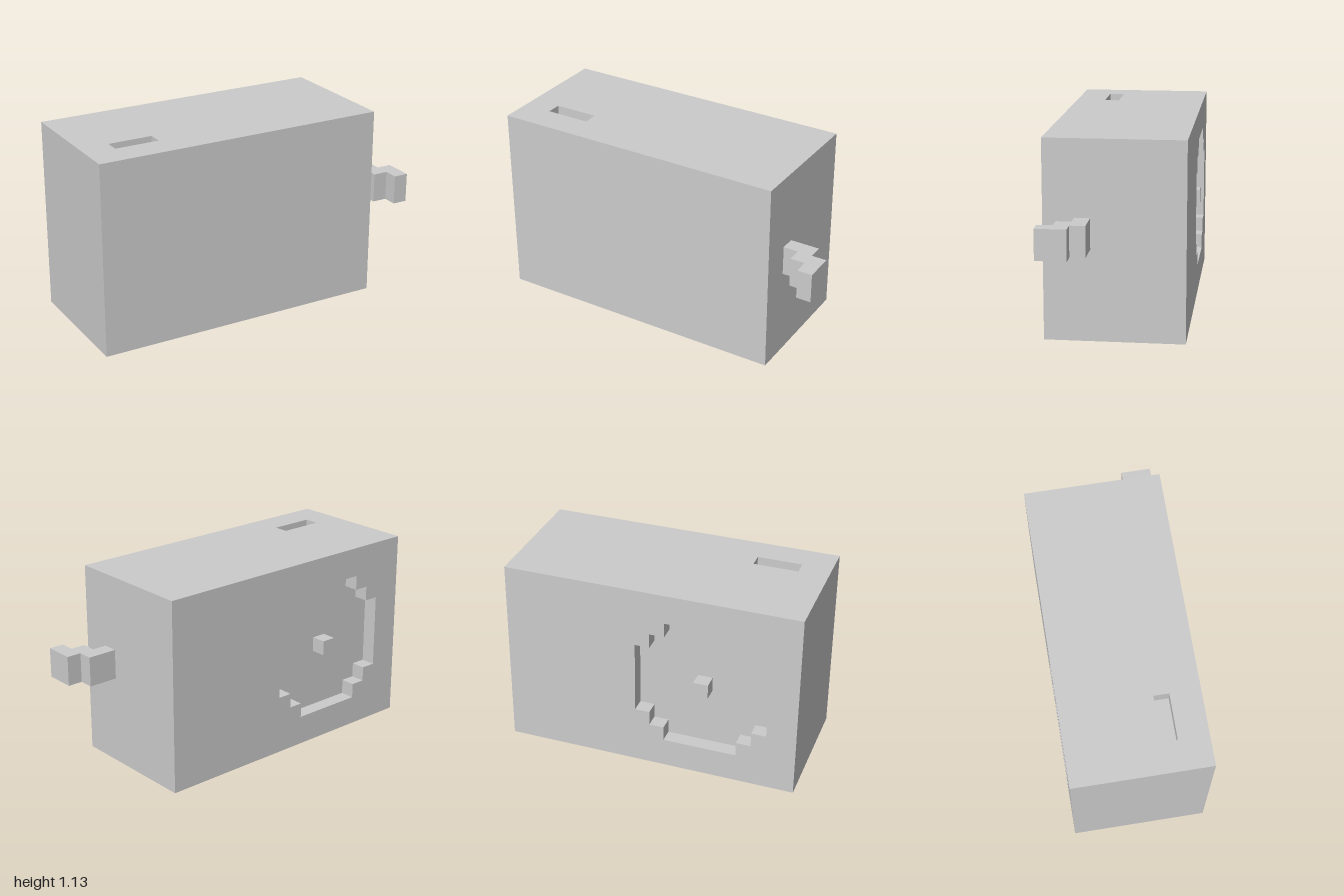
import * as THREE from 'three';

const U = 2 / 23; // one block
const W = 20, H = 13, D = 9; // body size in blocks
const BODY_X = -1.5; // body centre, leaving room for the crank

const material = new THREE.MeshStandardMaterial({ color: 0xcccccc, flatShading: true });
const toPoints = (list) => list.map(([x, y]) => new THREE.Vector2(x, y));
const rectangle = (x0, y0, x1, y1) => toPoints([[x0, y0], [x1, y0], [x1, y1], [x0, y1]]);

function addMesh(parent, name, geometry) {
  const mesh = new THREE.Mesh(geometry, material);
  mesh.name = name;
  parent.add(mesh);
  return mesh;
}

// Inward-facing walls under a counter-clockwise outline
function pocketWalls(outline, depth) {
  const positions = [];
  outline.forEach((a, i) => {
    const b = outline[(i + 1) % outline.length];
    positions.push(a.x, a.y, 0, b.x, b.y, 0, b.x, b.y, -depth);
    positions.push(a.x, a.y, 0, b.x, b.y, -depth, a.x, a.y, -depth);
  });
  const geometry = new THREE.BufferGeometry();
  geometry.setAttribute('position', new THREE.Float32BufferAttribute(positions, 3));
  geometry.computeVertexNormals();
  return geometry;
}

// Flat side of the body facing +z, optionally with a sunken pocket
function panel(name, width, height, pocket) {
  const group = new THREE.Group();
  group.name = name;
  const shape = new THREE.Shape(rectangle(-width / 2, -height / 2, width / 2, height / 2));
  if (pocket) shape.holes.push(new THREE.Path(pocket));
  addMesh(group, name + 'Face', new THREE.ShapeGeometry(shape));
  if (pocket) {
    addMesh(group, name + 'PocketWalls', pocketWalls(pocket, 1));
    addMesh(group, name + 'PocketFloor', new THREE.ShapeGeometry(new THREE.Shape(pocket))).position.z = -1;
  }
  return group;
}

// Stepped disc outline: one quadrant turned four times
function steppedCircle(cx, cy) {
  const points = [];
  let quadrant = [[4.5, 2.5], [3.5, 2.5], [3.5, 3.5], [2.5, 3.5], [2.5, 4.5]];
  for (let i = 0; i < 4; i++) {
    points.push(...quadrant.map(([x, y]) => [x + cx, y + cy]));
    quadrant = quadrant.map(([x, y]) => [-y, x]);
  }
  return toPoints(points);
}

export function createModel() {
  const model = new THREE.Group();
  model.name = 'crankBox';
  model.scale.setScalar(U);

  // Box body, one panel per side
  const body = new THREE.Group();
  body.name = 'body';
  body.position.set(BODY_X, H / 2, 0);
  model.add(body);
  const slot = rectangle(-8, -2.5, -5, -1.5);
  const dial = steppedCircle(3.5, 0);
  const sides = [
    // name, width, height, distance from centre, rotation x, rotation y, pocket
    ['front', W, H, D / 2, 0, 0],
    ['back', W, H, D / 2, 0, Math.PI, dial],
    ['left', D, H, W / 2, 0, Math.PI / 2],
    ['right', D, H, W / 2, 0, -Math.PI / 2],
    ['top', W, D, H / 2, -Math.PI / 2, 0, slot],
    ['bottom', W, D, H / 2, Math.PI / 2, 0],
  ];
  for (const [name, width, height, distance, rx, ry, pocket] of sides) {
    const side = panel(name, width, height, pocket);
    side.rotation.set(rx, ry, 0);
    side.translateZ(distance);
    body.add(side);
  }

  // Hub in the middle of the round recess, flush with the back
  addMesh(body, 'hub', new THREE.BoxGeometry(1, 1, 1)).position.set(-3.5, 0, -D / 2 + 0.5);

  // Stair-shaped crank on the side, outlined from above as [x, -z]
  const crankShape = new THREE.Shape(toPoints([
    [8.5, -1.5], [8.5, -2.5], [9.5, -2.5], [9.5, -3.5], [10.5, -3.5],
    [10.5, -4.5], [11.5, -4.5], [11.5, -2.5], [10.5, -2.5], [10.5, -1.5],
  ]));
  const crank = new THREE.ExtrudeGeometry(crankShape, { depth: 2, bevelEnabled: false });
  crank.rotateX(-Math.PI / 2);
  addMesh(model, 'crank', crank).position.y = 6;

  return model;
}
